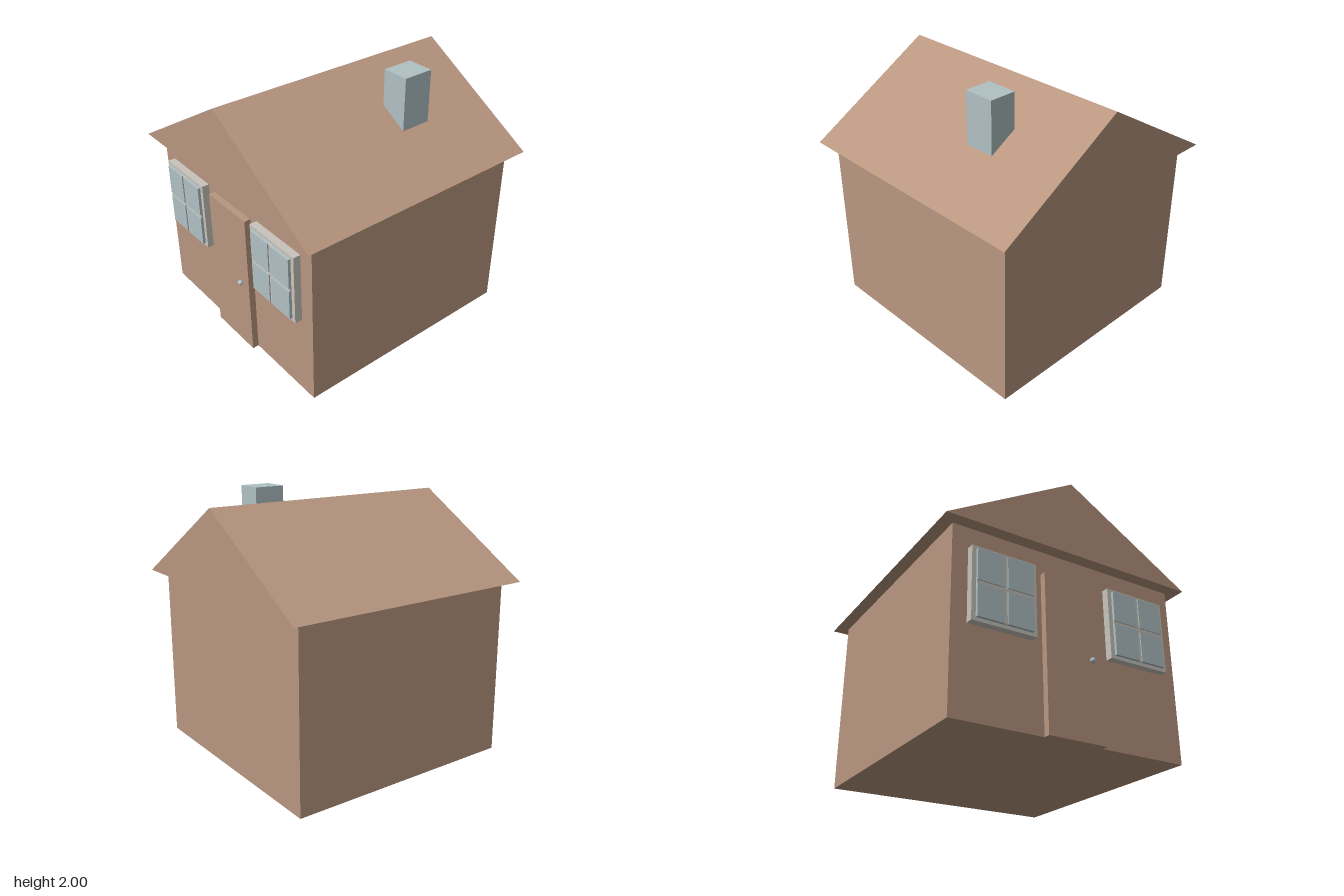
import * as THREE from 'three';

export function createModel() {
  const house = new THREE.Group();
  house.name = 'house';

  const material = (name, color) => {
    const m = new THREE.MeshStandardMaterial({ color });
    m.name = name;
    return m;
  };
  const clay = material('clay', 0xb89680);
  const blueGrey = material('blueGrey', 0xb0c1c4);
  const trim = material('trim', 0xc8c4bc);

  const add = (parent, name, geometry, mat) => {
    const mesh = new THREE.Mesh(geometry, mat);
    mesh.name = name;
    parent.add(mesh);
    return mesh;
  };

  // Box given by its lower and upper limits on each axis
  const box = (parent, name, mat, [x0, x1], [y0, y1], [z0, z1]) => {
    const mesh = add(parent, name, new THREE.BoxGeometry(x1 - x0, y1 - y0, z1 - z0), mat);
    mesh.position.set((x0 + x1) / 2, (y0 + y1) / 2, (z0 + z1) / 2);
    return mesh;
  };

  // Walls
  box(house, 'walls', clay, [-0.907, 0.907], [0, 1.338], [-0.907, 0.907]);

  // Solid gable roof with overhanging eaves
  const gable = new THREE.Shape();
  gable.moveTo(-1, 1.338);
  gable.lineTo(1, 1.338);
  gable.lineTo(0, 1.935);
  gable.closePath();
  const roof = new THREE.ExtrudeGeometry(gable, { depth: 2, bevelEnabled: false });
  roof.translate(0, 0, -1);
  add(house, 'roof', roof, clay);

  // Chimney
  box(house, 'chimney', blueGrey, [0.348, 0.558], [1.5, 2], [-0.424, -0.184]);

  // Door and knob
  box(house, 'door', clay, [-0.227, 0.227], [0, 1.155], [0.9, 0.956]);
  const knob = add(house, 'doorKnob', new THREE.SphereGeometry(0.02, 20, 14), blueGrey);
  knob.position.set(0.135, 0.58, 0.968);

  // Two windows: frame, glazing bars and four raised panes
  for (const side of [-1, 1]) {
    const win = new THREE.Group();
    win.name = side < 0 ? 'rightWindow' : 'leftWindow';
    win.position.set(side * 0.546, 0.911, 0);
    house.add(win);

    box(win, 'windowFrame', trim, [-0.244, 0.244], [-0.27, 0.27], [0.9, 0.963]);
    box(win, 'uprightBar', trim, [-0.013, 0.013], [-0.245, 0.245], [0.96, 0.975]);
    box(win, 'crossBar', trim, [-0.212, 0.212], [-0.013, 0.013], [0.96, 0.975]);
    for (const x of [-0.1125, 0.1125]) {
      for (const y of [-0.129, 0.129]) {
        box(win, 'windowPane', blueGrey, [x - 0.0995, x + 0.0995], [y - 0.116, y + 0.116], [0.96, 0.984]);
      }
    }
  }

  return house;
}
